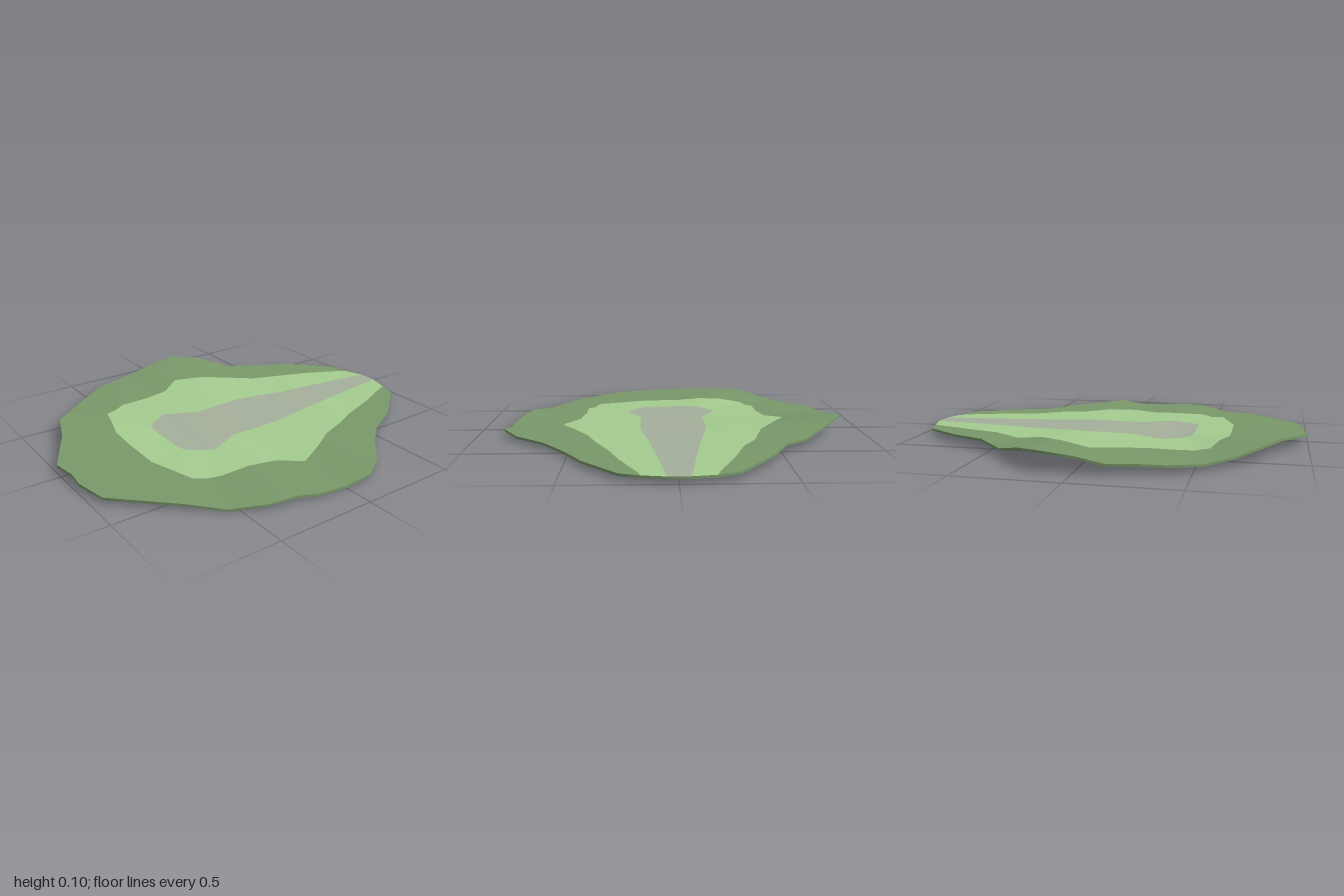
import * as THREE from 'three';

const THICK = 0.012, MID = 0.034;

// outer contour of each half, from the tip to the base: x, z, y
const backEdge = [
  [0.97, -0.16, 0.03], [0.94, -0.26, 0.035], [0.73, -0.43, 0.048], [0.55, -0.52, 0.053],
  [0.41, -0.64, 0.04], [0.27, -0.78, 0.083], [0.14, -0.87, 0.098], [-0.01, -0.865, 0.08],
  [-0.15, -0.86, 0.052], [-0.27, -0.825, 0.05], [-0.4, -0.8, 0.045], [-0.54, -0.71, 0.035],
  [-0.67, -0.59, 0.046], [-0.81, -0.44, 0.076], [-0.87, -0.27, 0.067], [-1, -0.04, 0.045]];
const frontEdge = [
  [0.97, 0.155, 0.03], [0.94, 0.25, 0.031], [0.73, 0.42, 0.027], [0.55, 0.51, 0.02],
  [0.41, 0.63, 0.03], [0.27, 0.78, 0.028], [0.14, 0.865, 0.036], [0, 0.855, 0.014],
  [-0.15, 0.845, 0.022], [-0.27, 0.815, 0.035], [-0.39, 0.795, 0.03], [-0.55, 0.7, 0.012],
  [-0.69, 0.58, 0.03], [-0.95, 0.33, 0.032], [-0.985, 0.17, 0.037], [-0.98, 0.08, 0.043]];

// inner contours of the back half (x, z); the front half mirrors them
const innerHalf = [
  [0.97, -0.16], [0.94, -0.17], [0.73, -0.26], [0.55, -0.32], [0.41, -0.39], [0.27, -0.44],
  [0.14, -0.525], [-0.01, -0.6], [-0.13, -0.515], [-0.27, -0.49], [-0.42, -0.49], [-0.48, -0.46],
  [-0.545, -0.43], [-0.58, -0.31], [-0.62, -0.18], [-0.62, -0.05]];
const ribHalf = [
  [1, -0.05], [0.94, -0.06], [0.73, -0.085], [0.55, -0.11], [0.41, -0.13], [0.27, -0.155],
  [0.14, -0.175], [0, -0.175], [-0.13, -0.172], [-0.2, -0.21], [-0.3, -0.255], [-0.35, -0.225],
  [-0.4, -0.19], [-0.43, -0.155], [-0.435, -0.1], [-0.435, -0.03]];

const point = ([x, z, y]) => new THREE.Vector3(x, y, z);
const outer = [...backEdge, ...frontEdge.slice().reverse()].map(point);
const N = outer.length;

// inner contours follow the waves of the edge, flattened by the given amount
function innerRing(half, mirror, wave) {
  const front = half.map(([x, z]) => [x, -z * mirror]).reverse();
  return [...half, ...front].map(([x, z], i) => point([x, z, MID + (outer[i].y - MID) * wave]));
}
const inner = innerRing(innerHalf, 0.97, 0.5);
const rib = innerRing(ribHalf, 0.95, 0.12);
// the pale zone meets the edge beside the tip
inner[0].copy(outer[0]);
inner[N - 1].copy(outer[N - 1]);

function meshFromQuads(name, color, quads) {
  const pts = [], index = [], ids = new Map();
  const id = p => {
    const key = p.toArray().map(v => v.toFixed(4)).join();
    if (!ids.has(key)) { ids.set(key, pts.length); pts.push(p); }
    return ids.get(key);
  };
  for (const [a, b, c, d] of quads) {
    for (const tri of [[a, b, c], [a, c, d]]) {
      const t = tri.map(id);
      if (new Set(t).size === 3) index.push(...t);
    }
  }
  const g = new THREE.BufferGeometry().setFromPoints(pts);
  g.setIndex(index);
  g.computeVertexNormals();
  const mesh = new THREE.Mesh(g, new THREE.MeshStandardMaterial({ color }));
  mesh.name = name;
  return mesh;
}

const lower = p => new THREE.Vector3(p.x, p.y - THICK, p.z);

// upper skin plus the same skin turned over as the underside
function twoSkins(name, color, quads) {
  const group = new THREE.Group();
  group.name = name;
  const under = quads.map(q => q.map(lower).reverse());
  group.add(meshFromQuads(name + 'Top', color, quads), meshFromQuads(name + 'Underside', color, under));
  return group;
}

function band(a, b) {
  const quads = [];
  for (let i = 0; i < N - 1; i++) quads.push([a[i], a[i + 1], b[i + 1], b[i]]);
  return quads;
}

export function createModel() {
  const leaf = new THREE.Group();
  leaf.name = 'leaf';

  // dark margin and pale inner zone
  leaf.add(twoSkins('leafMargin', 0x7a996b, band(outer, inner)));
  leaf.add(twoSkins('innerLeaf', 0xa5cd90, band(inner, rib)));

  // central rib, spanned from the back half to the front half
  const ribQuads = [];
  for (let i = 0; i < N / 2 - 1; i++) ribQuads.push([rib[i], rib[i + 1], rib[N - 2 - i], rib[N - 1 - i]]);
  leaf.add(twoSkins('midrib', 0xa5b09c, ribQuads));

  // thin rim closing the edge all round
  const loop = [rib[0], ...outer, rib[N - 1]];
  const rim = loop.map((a, i) => {
    const b = loop[(i + 1) % loop.length];
    return [a, lower(a), lower(b), b];
  });
  leaf.add(meshFromQuads('rim', 0x7a996b, rim));
  return leaf;
}
